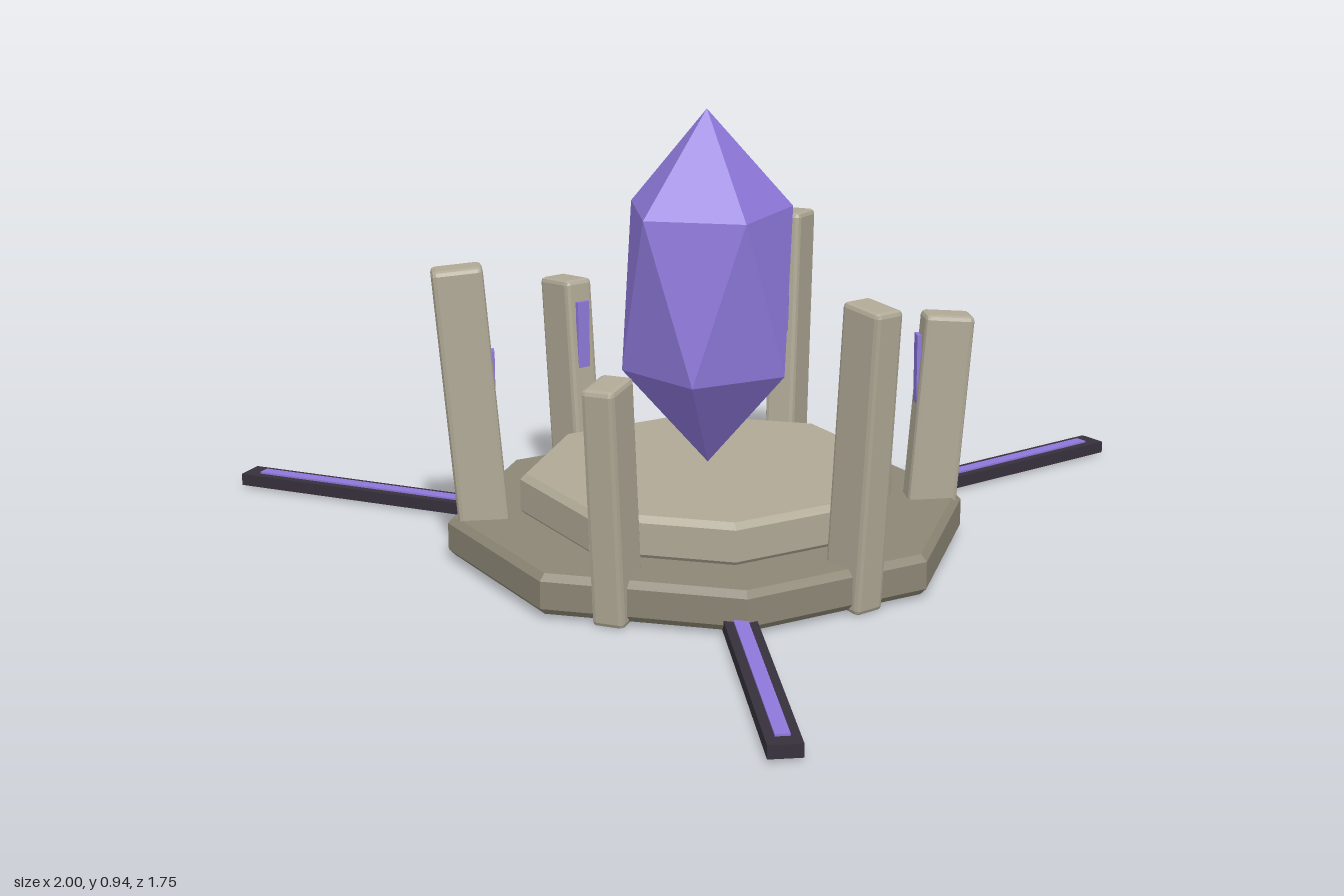
import * as THREE from 'three';
import { RoundedBoxGeometry } from 'three/addons/geometries/RoundedBoxGeometry.js';

function material(name, color) {
  const m = new THREE.MeshStandardMaterial({ color });
  m.name = name;
  return m;
}

// Facets a geometry so every face has its own normal
function faceted(geometry) {
  const g = geometry.index ? geometry.toNonIndexed() : geometry;
  g.computeVertexNormals();
  return g;
}

// Octagonal slab with chamfered rims
function slab(radius, y0, y1, c) {
  const profile = [[0, y0], [radius - c, y0], [radius, y0 + c], [radius, y1 - c], [radius - c, y1], [0, y1]];
  return faceted(new THREE.LatheGeometry(profile.map(([x, y]) => new THREE.Vector2(x, y)), 8));
}

// Two five-point rings, turned half a step apart, closed by two tips
function crystalGeometry() {
  const r = 0.179, pos = [];
  const ring = (k, y) => [r * Math.cos(k * Math.PI * 0.4), y, r * Math.sin(k * Math.PI * 0.4)];
  const top = [0, 0.94, 0], bottom = [0, 0.19, 0];
  for (let k = 0; k < 5; k++) {
    const a = ring(k, 0.733), b = ring(k + 1, 0.733);
    const c = ring(k + 0.5, 0.397), d = ring(k + 1.5, 0.397);
    for (const p of [top, b, a, a, b, c, b, d, c, bottom, c, d]) pos.push(...p);
  }
  const g = new THREE.BufferGeometry();
  g.setAttribute('position', new THREE.Float32BufferAttribute(pos, 3));
  return faceted(g);
}

export function createModel() {
  const stone = material('pale stone', 0xb0a996);
  const darkStone = material('dark stone', 0x8c8675);
  const violet = material('violet crystal', 0x8e78da);
  const iron = material('dark iron', 0x37303c);

  const model = new THREE.Group();
  model.name = 'crystalAltar';
  const altar = new THREE.Group();
  altar.name = 'altar';
  altar.position.set(-0.014, 0, -0.262);
  model.add(altar);

  const add = (parent, name, geometry, mat, x = 0, y = 0, z = 0) => {
    const mesh = new THREE.Mesh(geometry, mat);
    mesh.name = name;
    mesh.position.set(x, y, z);
    parent.add(mesh);
    return mesh;
  };
  // Group whose local +x points outward at the given angle
  const spoke = (name, angle) => {
    const g = new THREE.Group();
    g.name = name;
    g.rotation.y = -angle;
    altar.add(g);
    return g;
  };

  // Stepped base and floating crystal
  add(altar, 'lowerStep', slab(0.547, 0.01, 0.095, 0.014), darkStone);
  add(altar, 'upperStep', slab(0.395, 0.09, 0.182, 0.013), stone);
  add(altar, 'crystal', crystalGeometry(), violet);

  // Outward-leaning pillars, alternately short and tall, with an inlay on the inner face
  for (let i = 0; i < 6; i++) {
    const height = i % 2 ? 0.625 : 0.49;
    const g = spoke('pillar' + (i + 1), i * Math.PI / 3);
    const geometry = faceted(new RoundedBoxGeometry(0.105, height, 0.068, 1, 0.01));
    add(g, 'pillarShaft', geometry, stone, 0.491, 0.004 + height / 2).rotation.z = -0.08;
    add(g, 'pillarInlay', new THREE.BoxGeometry(0.009, 0.17, 0.03), violet, 0.447, 0.365);
  }

  // Three ground channels with glowing inlays
  for (let i = 0; i < 3; i++) {
    const g = spoke('channel' + (i + 1), THREE.MathUtils.degToRad(91.3 + i * 120));
    add(g, 'channelBar', new THREE.BoxGeometry(0.635, 0.026, 0.065), iron, 0.8175, 0.02);
    add(g, 'channelInlay', new THREE.BoxGeometry(0.59, 0.008, 0.028), violet, 0.803, 0.033);
  }

  return model;
}
